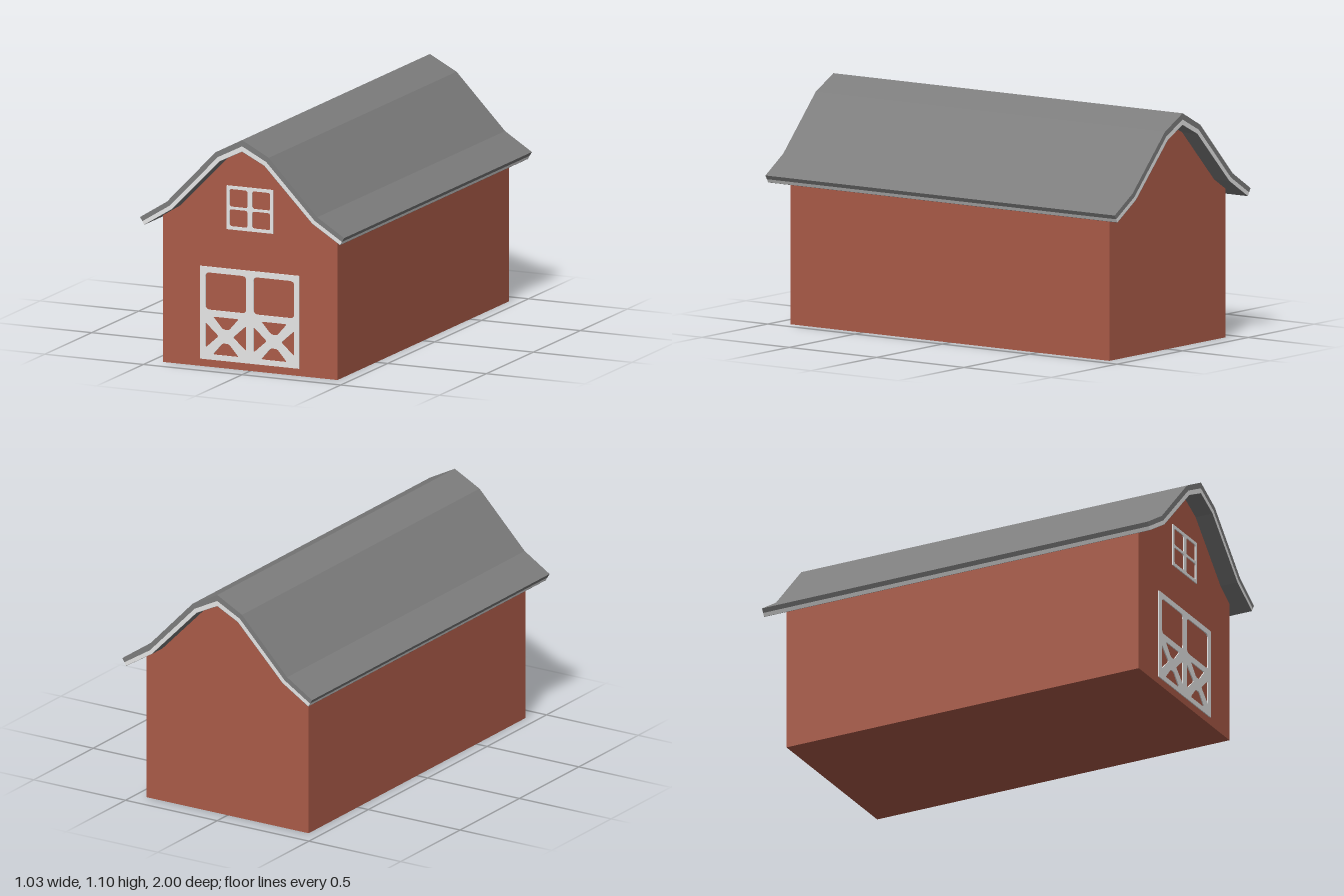
import * as THREE from 'three';

const mat = (name, color) => {
  const m = new THREE.MeshStandardMaterial({ color });
  m.name = name;
  return m;
};

// Right half of the gambrel roof section, ridge to eave: top skin and underside
const OUTER = [[0, 1.1], [0.135, 1.03], [0.381, 0.775], [0.517, 0.69]];
const INNER = [[0, 1.045], [0.112, 0.99], [0.355, 0.742], [0.496, 0.655]];

// Full-width roof line at depth t (0 = top skin, 1 = underside), from -x to +x
function roofLine(t) {
  const half = OUTER.map(([x, y], i) => [x + (INNER[i][0] - x) * t, y + (INNER[i][1] - y) * t]);
  return [...half.slice(1).reverse().map(([x, y]) => [-x, y]), ...half];
}

const toShape = (pts) => new THREE.Shape(pts.map(([x, y]) => new THREE.Vector2(x, y)));

function extrude(name, shape, depth, z, material) {
  const geo = new THREE.ExtrudeGeometry(shape, { depth, bevelEnabled: false, curveSegments: 4 });
  const mesh = new THREE.Mesh(geo, material);
  mesh.name = name;
  mesh.position.z = z;
  return mesh;
}

// Polygon opening with corners rounded by distance r
function opening(pts, r) {
  const path = new THREE.Path();
  const v = pts.map(([x, y]) => new THREE.Vector2(x, y));
  v.forEach((p, i) => {
    const towards = (q) => p.clone().add(q.clone().sub(p).setLength(r));
    const a = towards(v[(i + v.length - 1) % v.length]);
    const b = towards(v[(i + 1) % v.length]);
    if (i === 0) path.moveTo(a.x, a.y);
    else path.lineTo(a.x, a.y);
    path.quadraticCurveTo(p.x, p.y, b.x, b.y);
  });
  path.closePath();
  return path;
}

const rect = (x0, y0, x1, y1) => [[x0, y0], [x1, y0], [x1, y1], [x0, y1]];
const mirrored = (pts) => pts.map(([x, y]) => [-x, y]);

// Flat frame with the same openings on both sides of its centre line
function frame(name, outline, openings, material) {
  const shape = toShape(outline);
  for (const [pts, r] of openings) {
    shape.holes.push(opening(pts, r), opening(mirrored(pts), r));
  }
  return extrude(name, shape, 0.007, 0.911, material);
}

export function createModel() {
  const red = mat('barn red', 0xab5b48);
  const grey = mat('roof grey', 0x7d7d7d);
  const white = mat('trim white', 0xf2f2f2);
  const barn = new THREE.Group();
  barn.name = 'barn';

  // Walls, with gables reaching into the roof
  const gable = roofLine(0.75).slice(1, -1).reverse();
  const walls = toShape([[-0.442, 0], [0.442, 0], [0.442, 0.695], ...gable, [-0.442, 0.695]]);
  barn.add(extrude('walls', walls, 1.826, -0.913, red));

  // Roof in layers: covering, pale edge trim, underside lining
  const layers = [
    ['roofCovering', 0, 0.53, grey],
    ['roofTrim', 0.53, 0.97, white],
    ['roofLining', 0.97, 1, grey],
  ];
  for (const [name, top, bottom, material] of layers) {
    const section = toShape([...roofLine(bottom), ...roofLine(top).reverse()]);
    barn.add(extrude(name, section, 2, -1, material));
  }

  // Double door: square upper panels, cross-braced lower panels
  const cx = 0.122, cy = 0.149;
  const sideways = (s) => [[cx + s * 0.103, cy + 0.06], [cx + s * 0.103, cy - 0.06], [cx + s * 0.036, cy]];
  const upright = (s) => [[cx - 0.066, cy + s * 0.089], [cx + 0.066, cy + s * 0.089],
    [cx + 0.016, cy + s * 0.032], [cx - 0.016, cy + s * 0.032]];
  barn.add(frame('doorFrame', rect(-0.253, 0.035, 0.25, 0.47), [
    [rect(0.018, 0.268, 0.225, 0.443), 0.022],
    ...[-1, 1].flatMap((s) => [[sideways(s), 0.01], [upright(s), 0.01]]),
  ], white));

  // Four-pane loft window
  barn.add(frame('windowFrame', rect(-0.118, 0.655, 0.118, 0.86), [
    [rect(0.012, 0.67, 0.103, 0.75), 0.012],
    [rect(0.012, 0.762, 0.103, 0.845), 0.012],
  ], white));

  return barn;
}
